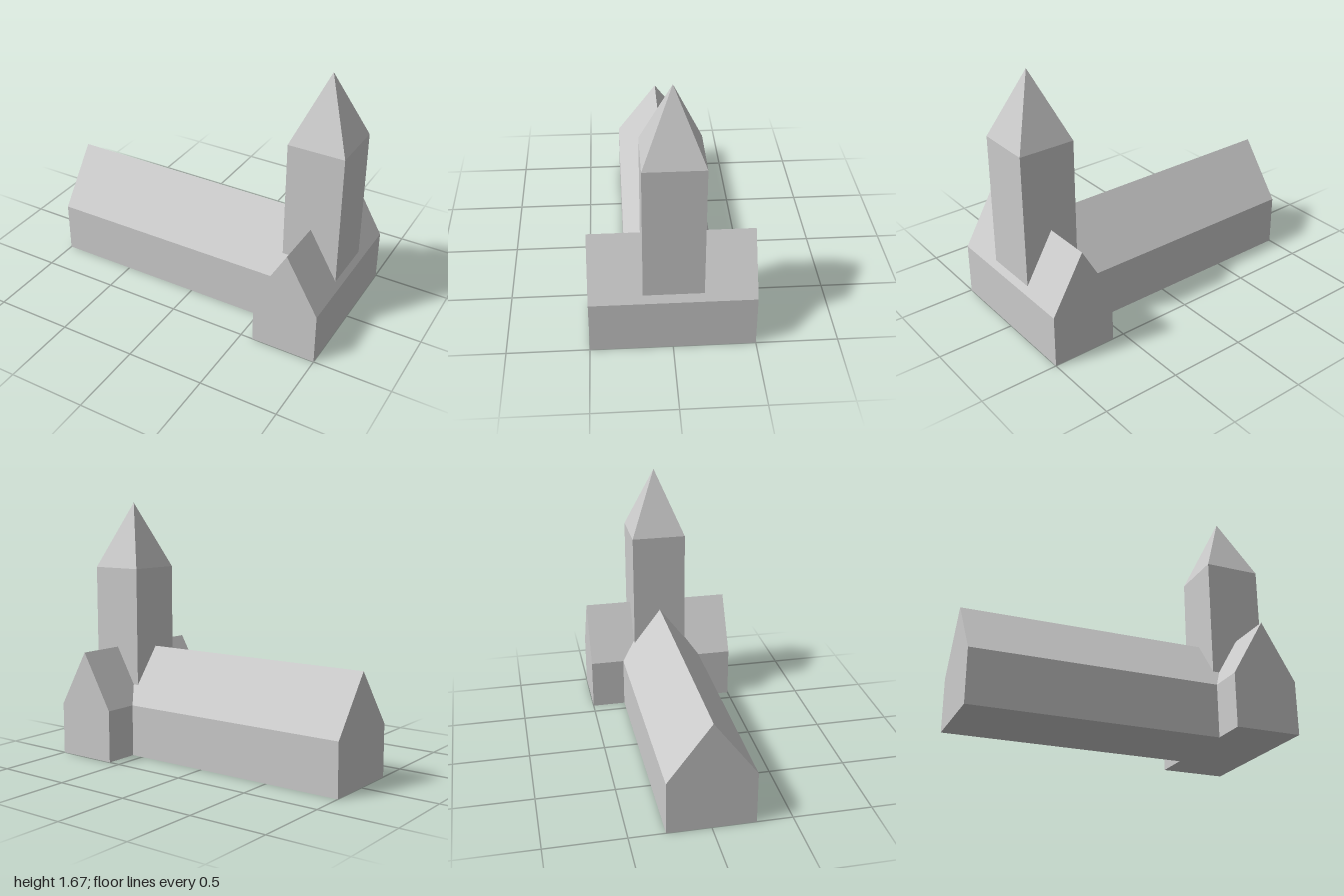
import * as THREE from 'three';

const material = new THREE.MeshStandardMaterial({ color: 0xcccccc, flatShading: true });
const EAVE = 0.34, RIDGE = 0.705;

// Gabled block: pentagon cross-section extruded along z, centred on x
function gabledBlock(name, width, length) {
  const w = width / 2;
  const section = new THREE.Shape([
    new THREE.Vector2(-w, 0),
    new THREE.Vector2(w, 0),
    new THREE.Vector2(w, EAVE),
    new THREE.Vector2(0, RIDGE),
    new THREE.Vector2(-w, EAVE),
  ]);
  const geometry = new THREE.ExtrudeGeometry(section, { depth: length, bevelEnabled: false });
  const mesh = new THREE.Mesh(geometry, material);
  mesh.name = name;
  return mesh;
}

export function createModel() {
  const church = new THREE.Group();
  church.name = 'church';

  // Long nave running along x, ending under the transept ridge
  const nave = gabledBlock('nave', 0.55, 1.79);
  nave.rotation.y = Math.PI / 2;
  nave.position.x = -1;
  church.add(nave);

  // Transept crossing the end of the nave
  const transept = gabledBlock('transept', 0.42, 1);
  transept.position.set(0.79, 0, -0.5);
  church.add(transept);

  // Square tower rising from the crossing, with a pyramid spire
  const side = 0.363, base = 0.36, top = 1.24, apex = 1.675;
  const tower = new THREE.Mesh(new THREE.BoxGeometry(side, top - base, side), material);
  tower.name = 'tower';
  tower.position.set(0.793, (base + top) / 2, -0.003);
  church.add(tower);

  const spireGeometry = new THREE.ConeGeometry(side / Math.SQRT2, apex - top, 4, 1, true);
  spireGeometry.rotateY(Math.PI / 4);
  const spire = new THREE.Mesh(spireGeometry, material);
  spire.name = 'spire';
  spire.position.set(0.793, (top + apex) / 2, -0.003);
  church.add(spire);

  return church;
}
